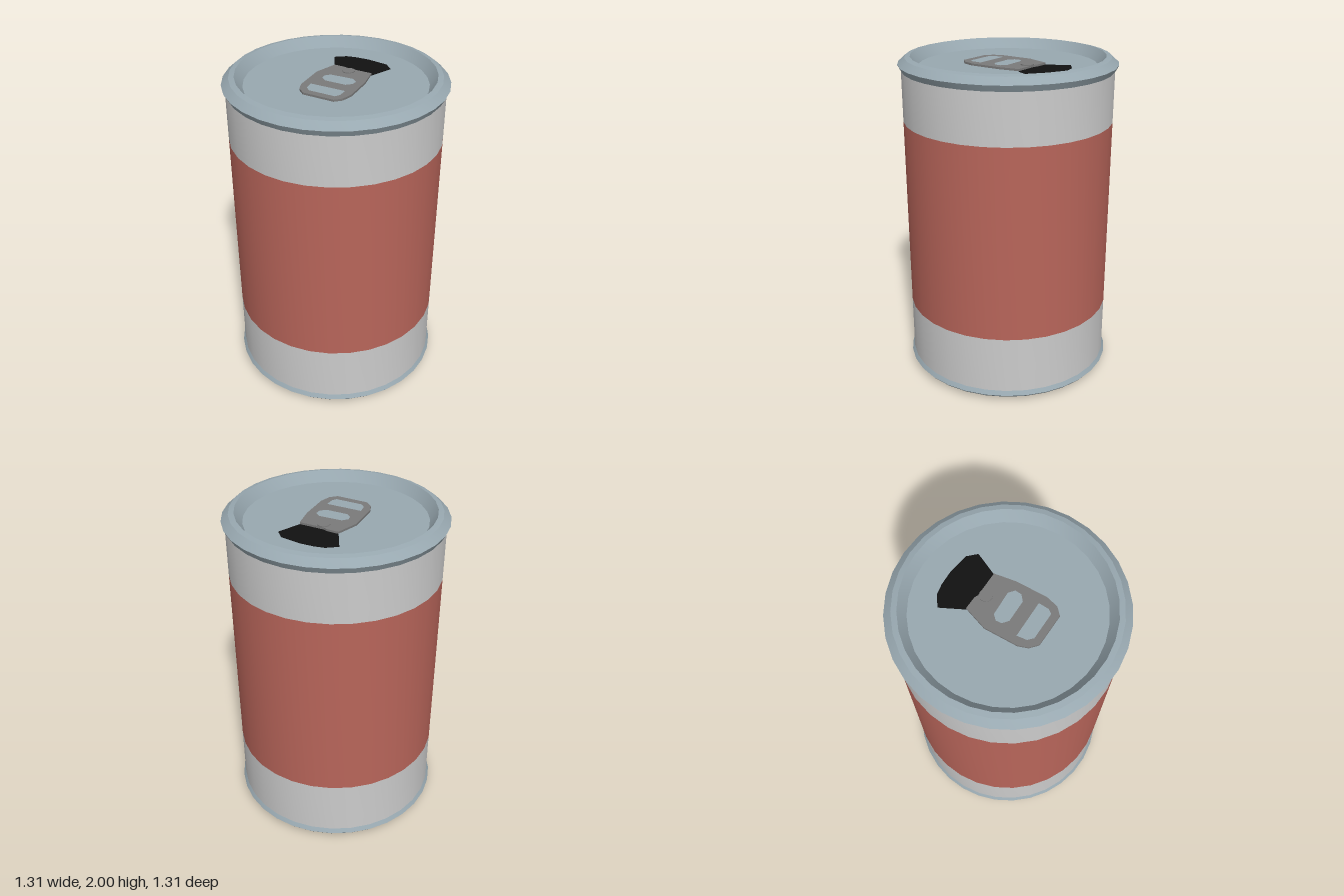
import * as THREE from 'three';
import { toCreasedNormals } from 'three/addons/utils/BufferGeometryUtils.js';

const SIDES = 32;
const LID_Y = 1.937;
const BODY_R = 0.635;

const material = (color) => new THREE.MeshStandardMaterial({ color });
const white = material(0xcccccc);
const red = material(0xb8655a);
const metal = material(0x98a8b0);
const tabGrey = material(0x7a7a7a);
const black = material(0x111111);

// Turned part: [radius, height] pairs, with hard edges along the profile only
function turned(name, profile, mat) {
  const points = profile.map(([r, y]) => new THREE.Vector2(r, y));
  const mesh = new THREE.Mesh(toCreasedNormals(new THREE.LatheGeometry(points, SIDES), 0.3), mat);
  mesh.name = name;
  return mesh;
}

// Flat plate from [x, z] outlines, lying on the lid
function plate(name, outline, holes, y, thickness, mat) {
  const toPoints = (list) => list.map(([x, z]) => new THREE.Vector2(x, -z));
  const shape = new THREE.Shape(toPoints(outline));
  shape.holes = holes.map((h) => new THREE.Path(toPoints(h)));
  const geometry = new THREE.ExtrudeGeometry(shape, { depth: thickness, bevelEnabled: false });
  geometry.rotateX(-Math.PI / 2);
  const mesh = new THREE.Mesh(geometry, mat);
  mesh.position.y = y;
  mesh.name = name;
  return mesh;
}

export function createModel() {
  const can = new THREE.Group();
  can.name = 'drinkCan';

  // Painted wall in three bands
  can.add(turned('lowerWall', [[BODY_R, 0.06], [BODY_R, 0.425]], white));
  can.add(turned('label', [[BODY_R, 0.425], [BODY_R, 1.615]], red));
  can.add(turned('upperWall', [[BODY_R, 1.615], [BODY_R, 1.925]], white));

  // Base: domed underside, standing ring and flared lip
  const base = [];
  for (let i = 0; i <= 6; i++) {
    const t = i / 6;
    base.push([0.505 * t, 0.11 * (1 - t * t)]);
  }
  base.push([0.58, 0.004], [0.64, 0.03], [0.65, 0.042], [BODY_R, 0.068]);
  can.add(turned('base', base, metal));

  // Top: flared rim, then a recessed flat lid
  can.add(turned('rimAndLid', [
    [BODY_R, 1.918], [0.655, 1.955], [0.612, 1.993], [0.58, 2],
    [0.535, LID_Y], [0, LID_Y],
  ], metal));

  // Drinking hole
  can.add(plate('opening', [
    [-0.175, -0.33], [-0.112, -0.373], [-0.05, -0.383], [0.03, -0.383],
    [0.16, -0.36], [0.206, -0.31], [0.143, -0.174], [-0.1, -0.18],
  ], [], LID_Y, 0.003, black));

  // Pull tab with two finger holes, slightly askew
  const gripHole = [
    [-0.105, 0.112], [0.115, 0.119], [0.112, 0.18],
    [0.094, 0.206], [-0.07, 0.199], [-0.098, 0.171],
  ];
  const middleHole = [
    [-0.087, -0.024], [-0.06, -0.052], [0.084, -0.052], [0.115, -0.024],
    [0.112, 0.014], [0.08, 0.042], [-0.052, 0.038], [-0.084, 0.01],
  ];
  can.add(plate('pullTab', [
    [-0.105, -0.195], [-0.03, -0.19], [-0.01, -0.18], [0.04, -0.178], [0.143, -0.174],
    [0.164, -0.045], [0.167, 0.143], [0.147, 0.213], [0.108, 0.25],
    [-0.087, 0.24], [-0.13, 0.2], [-0.15, 0.143], [-0.153, -0.056],
  ], [gripHole, middleHole], LID_Y + 0.003, 0.012, tabGrey));

  // Rivet holding the tab
  const rivet = new THREE.Mesh(
    toCreasedNormals(new THREE.CylinderGeometry(0.038, 0.038, 0.02, 10), 0.7), tabGrey);
  rivet.position.set(0.01, LID_Y + 0.01, -0.143);
  rivet.name = 'rivet';
  can.add(rivet);

  return can;
}
